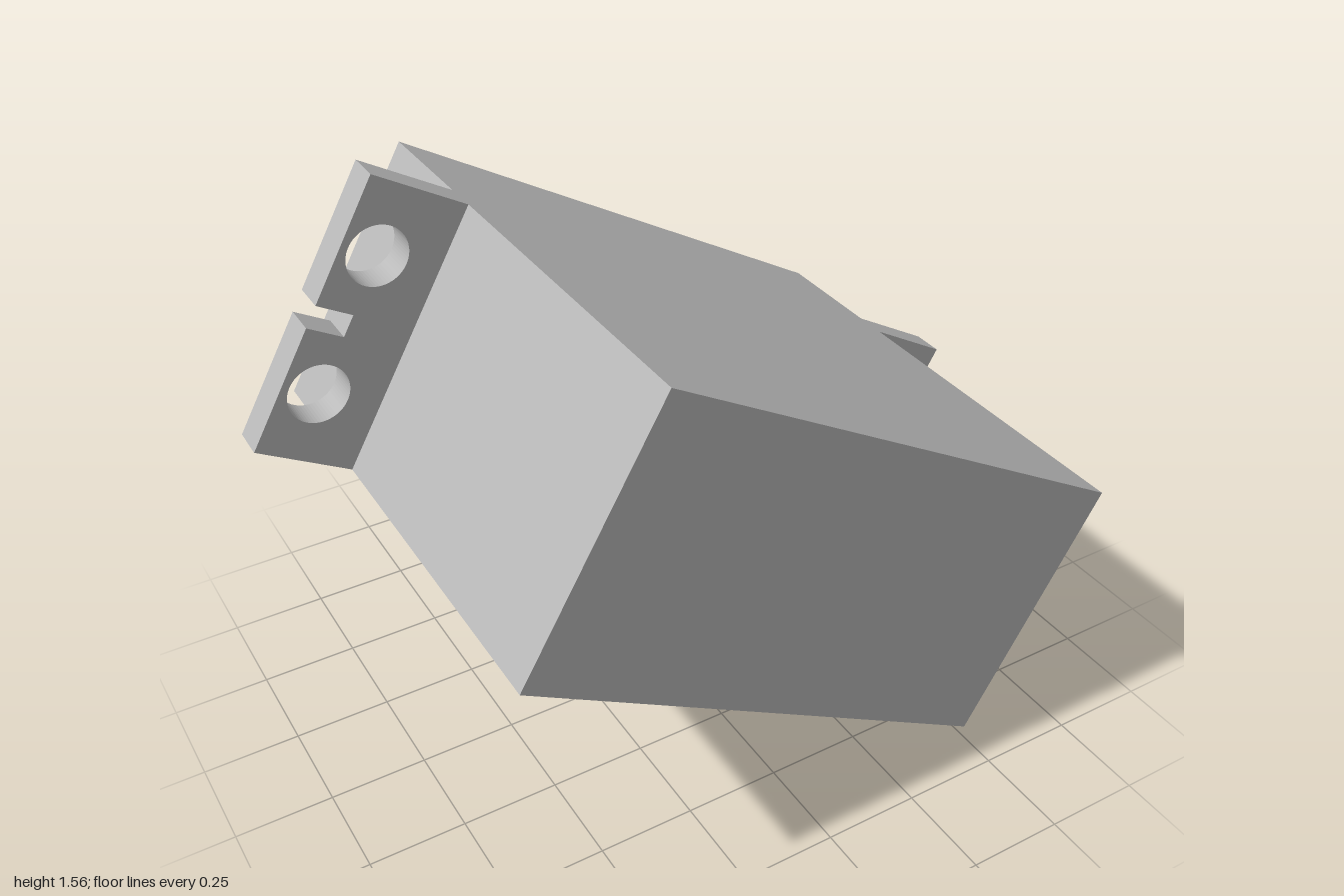
import * as THREE from 'three';

export function createModel() {
  const grey = new THREE.MeshStandardMaterial({ color: 0xb8b8b8 });
  grey.name = 'plain grey';

  // The whole servo motor is tilted about z
  const servo = new THREE.Group();
  servo.name = 'servo';
  servo.position.y = 0.7785;
  servo.rotation.z = -Math.PI / 6;

  const halfW = 0.6995, halfH = 0.3485, tabEnd = 0.9535;

  // Main casing
  const casing = new THREE.Mesh(new THREE.BoxGeometry(halfW * 2, halfH * 2, 1.29), grey);
  casing.name = 'casing';
  casing.position.z = 0.07;
  servo.add(casing);

  // Mounting tab: plate with two screw holes and a notch in its outer edge
  const tab = new THREE.Shape([
    [halfW, -halfH], [tabEnd, -halfH], [tabEnd, -0.028], [0.858, -0.028],
    [0.858, 0.028], [tabEnd, 0.028], [tabEnd, halfH], [halfW, halfH],
  ].map(([x, y]) => new THREE.Vector2(x, y)));
  for (const y of [-0.176, 0.176]) {
    tab.holes.push(new THREE.Path().absarc(0.86, y, 0.075, 0, Math.PI * 2, true));
  }
  const tabGeometry = new THREE.ExtrudeGeometry(tab, {
    depth: 0.086, bevelEnabled: false, curveSegments: 32,
  });
  for (const [name, turn] of [['leftMountingTab', 0], ['rightMountingTab', Math.PI]]) {
    const mesh = new THREE.Mesh(tabGeometry, grey);
    mesh.name = name;
    mesh.position.z = -0.261;
    mesh.rotation.z = turn;
    servo.add(mesh);
  }

  // Output shaft on the back
  const shaft = new THREE.Mesh(new THREE.CylinderGeometry(0.102, 0.102, 0.141, 48), grey);
  shaft.name = 'outputShaft';
  shaft.rotation.x = Math.PI / 2;
  shaft.position.set(0.346, 0, -0.6445);
  servo.add(shaft);

  const model = new THREE.Group();
  model.name = 'servoMotor';
  model.add(servo);
  return model;
}
